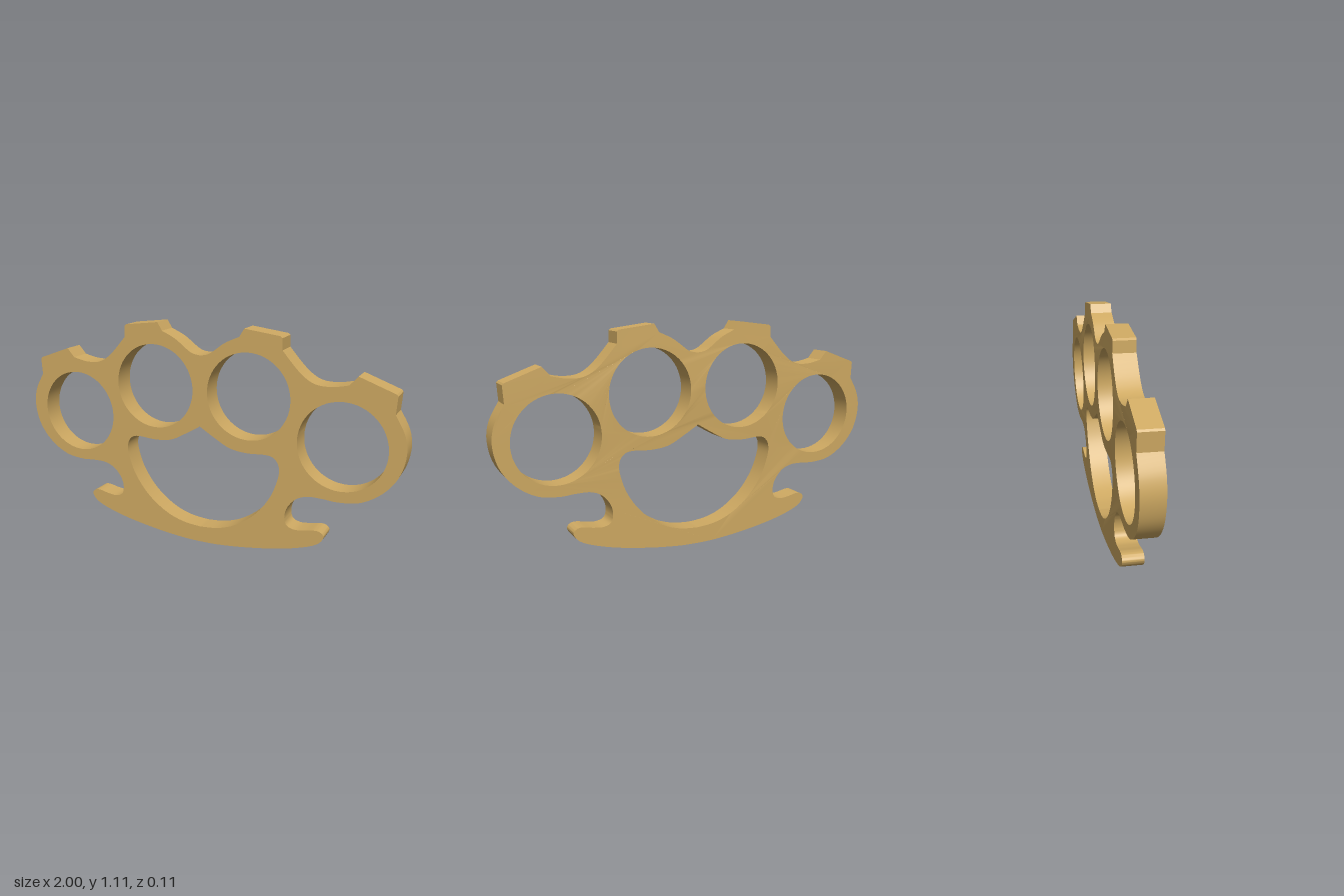
import * as THREE from 'three';
import { toCreasedNormals } from 'three/addons/utils/BufferGeometryUtils.js';

const vec = (pts) => pts.map(([x, y]) => new THREE.Vector2(x, y));
const smooth = (pts, n) => new THREE.SplineCurve(vec(pts)).getPoints(n);

// Closes a right-hand half profile (bottom centre to top centre) by mirroring it
function mirrored(half) {
  const other = half.slice(1, -1).reverse().map((p) => new THREE.Vector2(-p.x, p.y));
  return [...half, ...other];
}

export function createModel() {
  const brass = new THREE.MeshStandardMaterial({ color: 0xcea962 });
  brass.name = 'brass';

  // Outer outline: hooked base and outer ring, then angular teeth joined by curved valleys
  const outline = mirrored([
    ...smooth([[0, 0], [0.1, 0.003], [0.25, 0.019], [0.42, 0.048], [0.55, 0.083], [0.62, 0.115],
      [0.648, 0.152], [0.632, 0.176], [0.6, 0.18], [0.55, 0.17], [0.5, 0.166], [0.462, 0.182],
      [0.451, 0.225], [0.465, 0.275], [0.505, 0.322], [0.56, 0.345], [0.63, 0.347], [0.71, 0.343],
      [0.81, 0.359], [0.905, 0.418], [0.972, 0.506], [0.998, 0.61], [0.985, 0.7], [0.937, 0.787]], 130),
    ...vec([[0.942, 0.87], [0.935, 0.878], [0.766, 0.94]]),
    ...smooth([[0.728, 0.896], [0.65, 0.881], [0.57, 0.887], [0.5, 0.932], [0.415, 1.025]], 24),
    ...vec([[0.414, 1.08], [0.404, 1.088], [0.227, 1.11]]),
    ...smooth([[0.203, 1.07], [0.13, 1.036], [0.05, 0.979], [0, 0.967]], 20),
  ]);
  const shape = new THREE.Shape(outline);

  // Four finger holes
  for (const side of [-1, 1]) {
    for (const [x, y] of [[0.25, 0.79], [0.71, 0.608]]) {
      shape.holes.push(new THREE.Path(
        new THREE.EllipseCurve(side * x, y, 0.211, 0.211).getPoints(64).slice(0, -1)));
    }
  }

  // Palm opening, pointed at its top centre
  shape.holes.push(new THREE.Path(mirrored(
    smooth([[0, 0.083], [0.1, 0.094], [0.2, 0.132], [0.3, 0.208], [0.375, 0.31], [0.413, 0.415],
      [0.413, 0.475], [0.385, 0.511], [0.34, 0.519], [0.25, 0.514], [0.16, 0.526], [0.08, 0.567],
      [0, 0.615]], 70))));

  const geometry = new THREE.ExtrudeGeometry(shape, { depth: 0.1, bevelEnabled: false, curveSegments: 1 });
  geometry.translate(0, 0, -0.045);

  // Slight swell of the back face around the finger holes
  const pos = geometry.attributes.position;
  for (let i = 0; i < pos.count; i++) {
    if (pos.getZ(i) > 0) continue;
    const x = pos.getX(i), y = pos.getY(i);
    pos.setZ(i, -0.045 - 0.01 * Math.exp(-(((y - 0.78) / 0.3) ** 2)) * (1 - 0.4 * x * x));
  }

  const body = new THREE.Mesh(toCreasedNormals(geometry, 0.5), brass);
  body.name = 'fourRingGrip';
  const group = new THREE.Group();
  group.name = 'ringGrip';
  group.add(body);
  return group;
}
